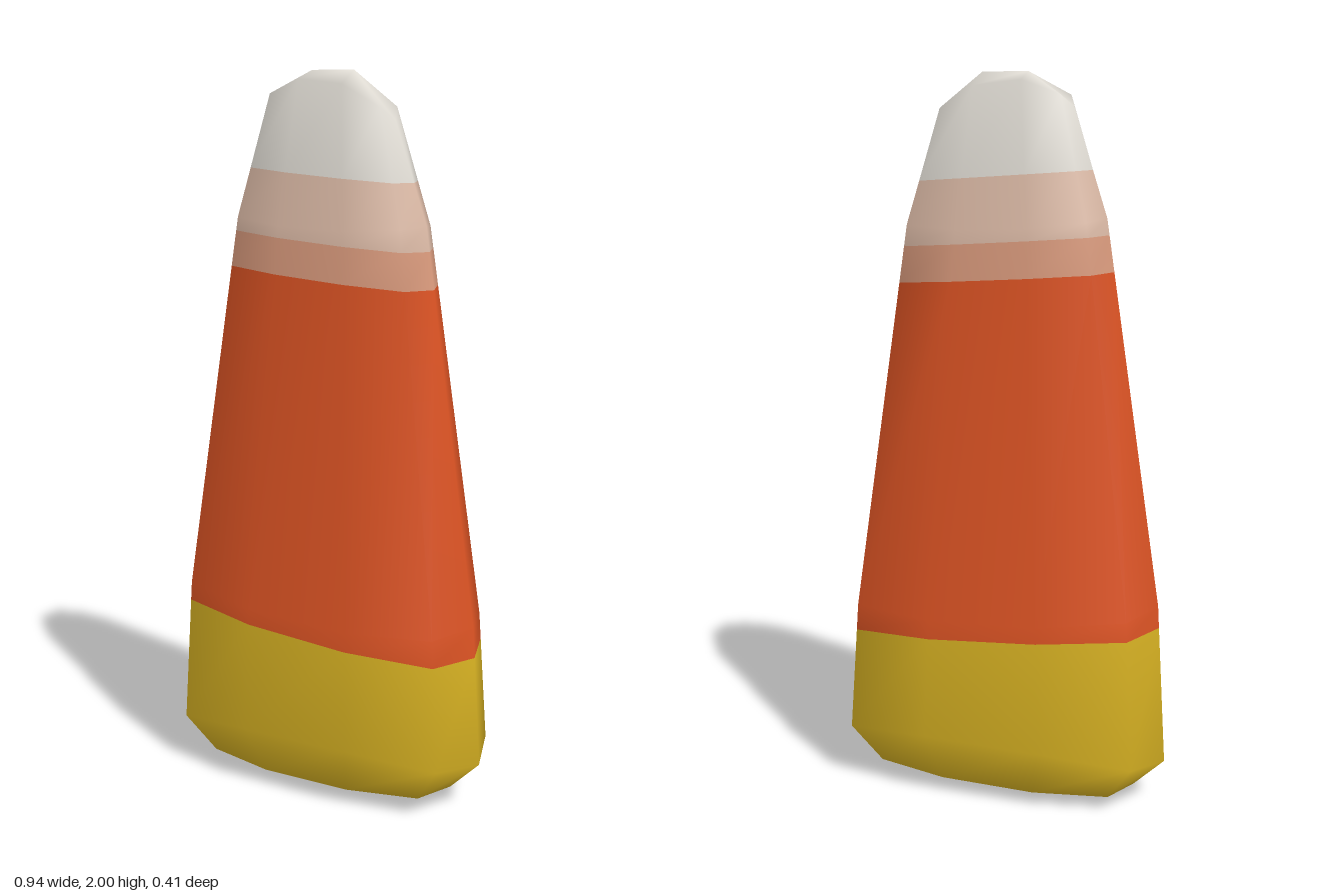
import * as THREE from 'three';
import { mergeVertices } from 'three/addons/utils/BufferGeometryUtils.js';

const paint = (name, color) => {
  const m = new THREE.MeshStandardMaterial({ color });
  m.name = name;
  return m;
};

// Ten-sided outline: [x fraction, z fraction, weight of the broad-face height]
const quarter = [[1, 0, 0], [0.885, 0.72, 0.4], [0.35, 1, 1]];
const half = [...quarter, ...quarter.slice(1).reverse().map(([x, z, m]) => [-x, z, m])];
const outline = [...half, [-1, 0, 0], ...half.slice(1).reverse().map(([x, z, m]) => [x, -z, m])];

// Ring of the body: height at the narrow ends, height at the broad faces, tilt, half width, half depth
function ring(yEnd, yMid, tilt, w, d) {
  return outline.map(([fx, fz, m]) => {
    const x = fx * w;
    return new THREE.Vector3(x, yEnd + (yMid - yEnd) * m + tilt * x, fz * d);
  });
}

// Short ridge closing the top or bottom
const ridge = (y, w) => outline.map(([fx]) => new THREE.Vector3(Math.sign(fx) * w, y, 0));

// Slanted colour border cut between two rings
const SLOPE = 0.067;
function border(lower, upper, height) {
  return lower.map((p, i) => {
    const a = p.y + SLOPE * p.x;
    const b = upper[i].y + SLOPE * upper[i].x;
    return p.clone().lerp(upper[i], (height - a) / (b - a));
  });
}

export function createModel() {
  const materials = [
    paint('yellow', 0xdab423),
    paint('orange', 0xde5424),
    paint('peach', 0xdc9c7e),
    paint('pale peach', 0xddbba7),
    paint('cream white', 0xe0dcd4),
  ];

  const base = ring(0.047, 0.04, 0.018, 0.385, 0.15);
  const shoulder = ring(0.13, 0.18, 0.02, 0.472, 0.207);
  const waist = ring(0.55, 0.525, -0.04, 0.446, 0.194);
  const neck = ring(1.61, 1.59, -0.03, 0.287, 0.116);
  const crown = ring(1.89, 1.97, -0.1, 0.192, 0.065);

  // Rows from bottom to top, each with the colour of the strip above it
  const rows = [
    [ridge(0, 0.09), 0],
    [base, 0],
    [shoulder, 0],
    [border(shoulder, waist, 0.476), 1],
    [waist, 1],
    [border(waist, neck, 1.457), 2],
    [border(waist, neck, 1.555), 3],
    [neck, 3],
    [border(neck, crown, 1.728), 4],
    [crown, 4],
    [ridge(2, 0.065), 4],
  ];

  const n = outline.length;
  const index = [];
  let geometry = new THREE.BufferGeometry().setFromPoints(rows.flatMap(([points]) => points));
  for (let r = 0; r < rows.length - 1; r++) {
    geometry.addGroup(index.length, n * 6, rows[r][1]);
    for (let i = 0; i < n; i++) {
      const a = r * n + i, b = r * n + (i + 1) % n;
      index.push(a, a + n, b, b, a + n, b + n);
    }
  }
  geometry.setIndex(index);
  geometry = mergeVertices(geometry);
  geometry.computeVertexNormals();

  const candy = new THREE.Mesh(geometry, materials);
  candy.name = 'candyBody';
  const model = new THREE.Group();
  model.name = 'candyCorn';
  model.add(candy);
  return model;
}
